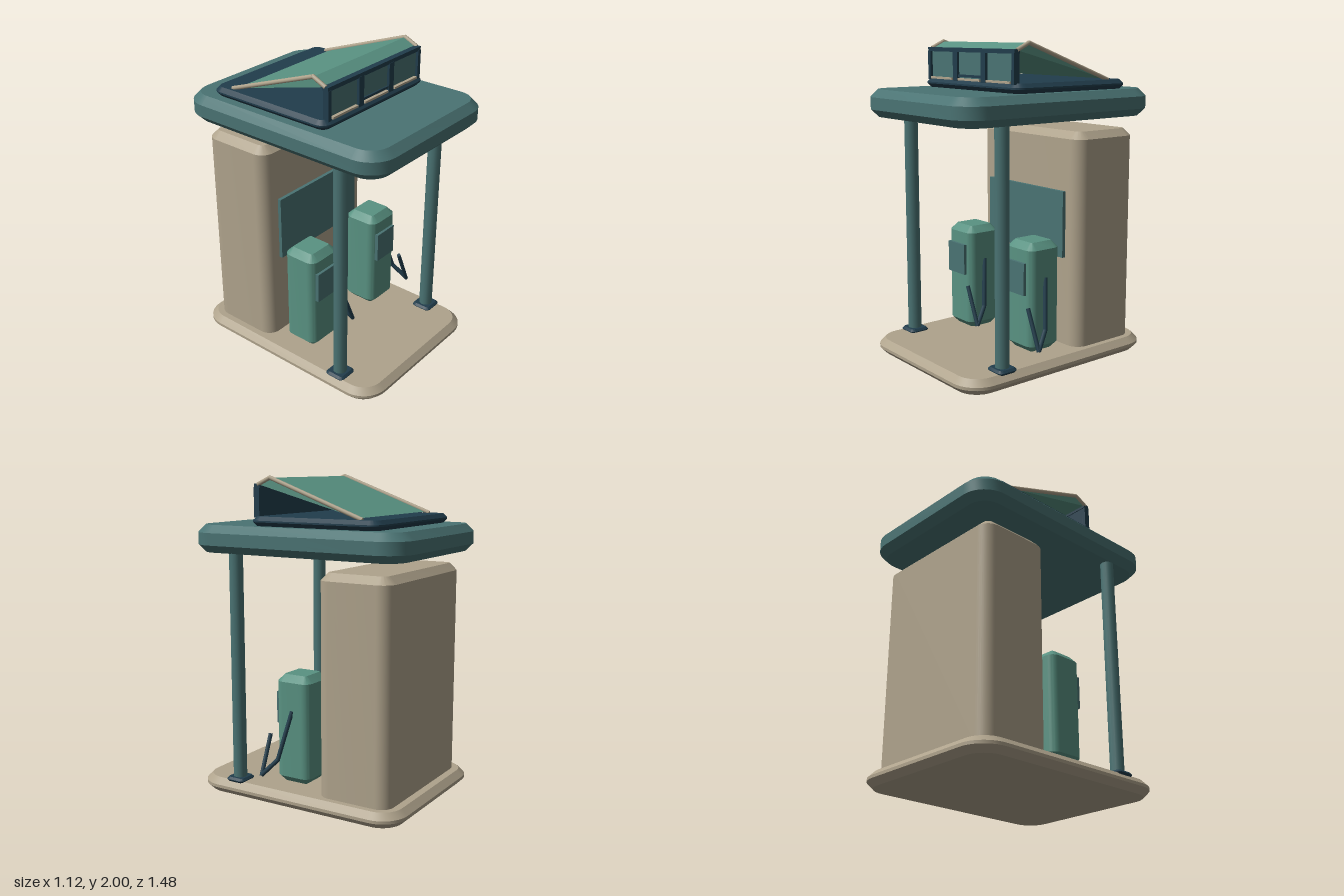
import * as THREE from 'three';
import { toCreasedNormals } from 'three/addons/utils/BufferGeometryUtils.js';

const CX = -0.01; // shared centre line of the building

export function createModel() {
  const model = new THREE.Group();
  model.name = 'fuelStation';

  const mat = (name, color) => {
    const m = new THREE.MeshStandardMaterial({ color });
    m.name = name;
    return m;
  };
  const tan = mat('tan', 0xafa38c);
  const slate = mat('slateTeal', 0x4a7373);
  const green = mat('green', 0x599282);
  const navy = mat('navy', 0x213d4c);

  const add = (name, geometry, material, parent = model) => {
    const mesh = new THREE.Mesh(geometry, material);
    mesh.name = name;
    parent.add(mesh);
    return mesh;
  };

  // Upright block with rounded plan corners and chamfered top and bottom edges
  const slab = (name, material, [x0, x1], [y0, y1], [z0, z1], r, bevel, parent) => {
    const w = (x1 - x0) / 2, d = (z1 - z0) / 2;
    const s = new THREE.Shape();
    s.absarc(w - r, d - r, r, 0, Math.PI / 2);
    s.absarc(-w + r, d - r, r, Math.PI / 2, Math.PI);
    s.absarc(-w + r, -d + r, r, Math.PI, Math.PI * 1.5);
    s.absarc(w - r, -d + r, r, Math.PI * 1.5, Math.PI * 2);
    s.closePath();
    const g = new THREE.ExtrudeGeometry(s, {
      depth: y1 - y0 - 2 * bevel, curveSegments: 5,
      bevelThickness: bevel, bevelSize: bevel, bevelOffset: -bevel, bevelSegments: 1,
    });
    g.rotateX(-Math.PI / 2);
    g.translate((x0 + x1) / 2, y0 + bevel, (z0 + z1) / 2);
    return add(name, toCreasedNormals(g, 0.6), material, parent);
  };

  const box = (name, material, [x0, x1], [y0, y1], [z0, z1], parent) => {
    const g = new THREE.BoxGeometry(x1 - x0, y1 - y0, z1 - z0);
    g.translate((x0 + x1) / 2, (y0 + y1) / 2, (z0 + z1) / 2);
    return add(name, g, material, parent);
  };

  // Chain of straight rods through a list of points
  const rods = (name, material, points, radius, parent) => {
    const group = new THREE.Group();
    group.name = name;
    const p = points.map((q) => new THREE.Vector3(...q));
    for (let i = 0; i + 1 < p.length; i++) {
      const dir = p[i + 1].clone().sub(p[i]);
      const rod = add(name + 'Segment', new THREE.CylinderGeometry(radius, radius, dir.length(), 8), material, group);
      rod.position.copy(p[i]).addScaledVector(dir, 0.5);
      rod.quaternion.setFromUnitVectors(new THREE.Vector3(0, 1, 0), dir.normalize());
      // rounded joint between rods
      if (i > 0) add(name + 'Joint', new THREE.SphereGeometry(radius, 8, 6), material, group).position.copy(p[i]);
    }
    (parent || model).add(group);
    return group;
  };

  // Ground slab, shop building and canopy
  slab('groundSlab', tan, [-0.57, 0.547], [0, 0.095], [-0.72, 0.72], 0.17, 0.038);
  slab('shopBuilding', tan, [-0.492, 0.472], [0.04, 1.45], [-0.635, -0.15], 0.085, 0.045);
  box('shopWindow', slate, [-0.38, 0.357], [0.662, 1.08], [-0.16, -0.127]);
  slab('canopy', slate, [-0.57, 0.547], [1.53, 1.7], [-0.74, 0.74], 0.17, 0.047);

  // Front columns with collars
  for (const side of [-1, 1]) {
    const x = CX + side * 0.47;
    const column = add('column', new THREE.CylinderGeometry(0.043, 0.043, 1.5, 12), slate);
    column.position.set(x, 0.8, 0.43);
    slab('columnCollar', navy, [x - 0.07, x + 0.07], [0.085, 0.115], [0.362, 0.498], 0.03, 0.013);
  }

  // Two identical pumps
  for (const x of [-0.315, 0.295]) {
    const pump = new THREE.Group();
    pump.name = 'pump';
    pump.position.x = x;
    slab('pumpBody', green, [-0.125, 0.125], [0.115, 0.8], [-0.06, 0.18], 0.055, 0.042, pump);
    box('pumpScreen', slate, [-0.095, 0.08], [0.48, 0.68], [0.17, 0.198], pump);
    rods('hose', navy, [[0.118, 0.58, 0.06], [0.19, 0.28, 0.12], [0.238, 0.18, 0.21]], 0.014, pump);
    rods('nozzle', navy, [[0.238, 0.175, 0.21], [0.135, 0.42, 0.21]], 0.013, pump);
    model.add(pump);
  }

  // Rooftop skylight base
  slab('skylightBase', navy, [-0.49, 0.47], [1.7, 1.758], [-0.557, 0.323], 0.07, 0.024);

  // Skylight front wall: frame, mullions, panes and sills
  box('skylightBackPanel', navy, [-0.44, 0.42], [1.75, 1.94], [0.275, 0.29]);
  box('skylightTopRail', navy, [-0.445, 0.425], [1.925, 1.95], [0.27, 0.312]);
  for (const x of [-0.432, -0.152, 0.132, 0.412]) {
    const half = Math.abs(x - CX) > 0.3 ? 0.013 : 0.022;
    box('skylightMullion', navy, [x - half, x + half], [1.75, 1.93], [0.275, 0.314]);
  }
  [[-0.419, -0.174], [-0.13, 0.11], [0.154, 0.399]].forEach((span, i) => {
    box('skylightPane', slate, span, [1.755, 1.925], [0.288, 0.297]);
    box('skylightSill', tan, [span[0] + 0.01, span[1] - 0.01], [1.755, 1.768], [0.29, 0.318]);
    if (i === 1) box('skylightLowerRail', navy, span, [1.775, 1.79], [0.288, 0.308]);
  });

  // Sloped skylight roof: a thin wedge with its ridge near the front
  const profile = new THREE.Shape([
    new THREE.Vector2(0.285, 1.945),
    new THREE.Vector2(0.2, 1.985),
    new THREE.Vector2(-0.4, 1.765),
  ]);
  const wedge = new THREE.ExtrudeGeometry(profile, { depth: 0.85, bevelEnabled: false });
  wedge.translate(0, 0, -0.425);
  wedge.rotateY(-Math.PI / 2);
  wedge.translate(CX, 0, 0);
  add('skylightRoof', wedge, green);

  // Edge bars along both sides of the roof
  for (const side of [-1, 1]) {
    const x = CX + side * 0.427;
    rods('roofEdgeBar', tan, [[x, 1.945, 0.288], [x, 1.986, 0.2], [x, 1.758, -0.43]], 0.013);
  }

  return model;
}
